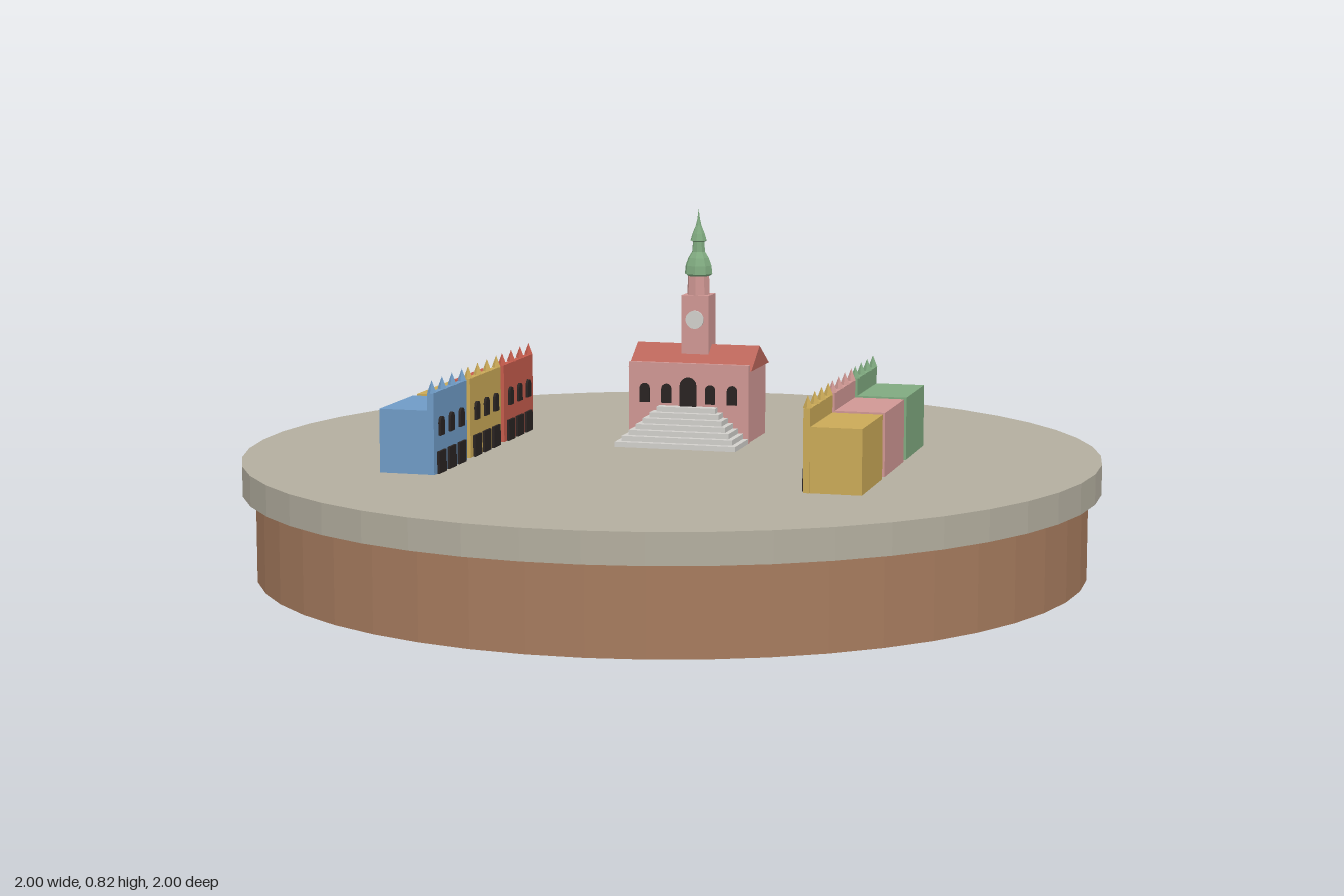
import * as THREE from 'three';

const material = (name, color) => {
  const m = new THREE.MeshStandardMaterial({ color });
  m.name = name;
  return m;
};

const M = {
  paving: material('paving', 0xb3ae9f),
  earth: material('earth', 0xa67b5e),
  pink: material('pinkPlaster', 0xd09894),
  yellow: material('yellowPlaster', 0xcbaa58),
  blue: material('bluePlaster', 0x6f9bc6),
  green: material('greenCopper', 0x80aa80),
  red: material('redPlaster', 0xc55b4c),
  roof: material('roofTile', 0xb9655a),
  steps: material('paleStone', 0xd2d0cc),
  dark: material('darkOpening', 0x2a2422),
};

const GROUND = 0.27;
const TILT = THREE.MathUtils.degToRad(20);

// Gives every face its own flat normal
function flat(geometry) {
  const g = geometry.index ? geometry.toNonIndexed() : geometry;
  g.computeVertexNormals();
  return g;
}

function add(parent, name, geometry, mat, x = 0, y = 0, z = 0) {
  const mesh = new THREE.Mesh(geometry, mat);
  mesh.name = name;
  mesh.position.set(x, y, z);
  parent.add(mesh);
  return mesh;
}

// Box placed by the centre of its underside
function block(parent, name, mat, w, h, d, x, y, z) {
  return add(parent, name, new THREE.BoxGeometry(w, h, d), mat, x, y + h / 2, z);
}

// Thin round-topped plate placed by its bottom centre
function archPlate(parent, name, mat, w, h, x, y, z) {
  const r = w / 2;
  const s = new THREE.Shape();
  s.moveTo(-r, 0);
  s.lineTo(r, 0);
  s.lineTo(r, h - r);
  s.absarc(0, h - r, r, 0, Math.PI, false);
  s.lineTo(-r, 0);
  const g = new THREE.ExtrudeGeometry(s, { depth: 0.006, bevelEnabled: false, curveSegments: 4 });
  return add(parent, name, g, mat, x, y, z);
}

// Town house with a raised front wall, finials and dark openings; faces its own +z
function makeHouse(name, mat, x, z, turn) {
  const house = new THREE.Group();
  house.name = name;
  house.position.set(x, GROUND, z);
  house.rotation.y = turn;
  block(house, 'houseBody', mat, 0.216, 0.145, 0.115, 0, 0, -0.0075);
  block(house, 'frontWall', mat, 0.22, 0.185, 0.015, 0, 0, 0.0575);
  for (let i = 0; i < 4; i++) {
    const finial = flat(new THREE.ConeGeometry(0.011, 0.028, 4));
    add(house, 'finial', finial, mat, -0.1 + i * 0.0667, 0.199, 0.0575);
  }
  for (let i = -1; i <= 1; i++) {
    archPlate(house, 'upperWindow', M.dark, 0.027, 0.043, i * 0.067, 0.085, 0.065);
    block(house, 'groundOpening', M.dark, 0.046, 0.05, 0.006, i * 0.067, 0, 0.068);
  }
  return house;
}

function makeTownHall() {
  const hall = new THREE.Group();
  hall.name = 'townHall';
  hall.position.set(0.083, GROUND, -0.236);
  hall.rotation.y = -TILT;

  block(hall, 'hallBody', M.pink, 0.29, 0.175, 0.176, 0, 0, 0);
  block(hall, 'frontParapet', M.pink, 0.296, 0.188, 0.012, 0, 0, 0.086);

  // Gabled roof
  const gable = new THREE.Shape([
    new THREE.Vector2(-0.082, 0),
    new THREE.Vector2(0.094, 0),
    new THREE.Vector2(0, 0.052),
  ]);
  const roof = new THREE.ExtrudeGeometry(gable, { depth: 0.304, bevelEnabled: false });
  roof.translate(0, 0, -0.152);
  roof.rotateY(Math.PI / 2);
  add(hall, 'gabledRoof', roof, M.roof, 0, 0.173, 0);

  for (let i = -2; i <= 2; i++) {
    archPlate(hall, 'hallWindow', M.dark, 0.024, 0.046, i * 0.054, 0.092, 0.092);
  }
  archPlate(hall, 'hallDoor', M.dark, 0.04, 0.07, 0, 0.085, 0.0925);

  // Staircase narrowing towards the door
  const stairs = new THREE.Group();
  stairs.name = 'stairs';
  const count = 7;
  for (let i = 0; i < count; i++) {
    const depth = 0.126 - i * 0.0165;
    block(stairs, 'step', M.steps, 0.295 - i * 0.025, 0.0122, depth, 0, i * 0.0122, 0.09 + depth / 2);
  }
  hall.add(stairs);

  // Tower with clock face
  const tower = new THREE.Group();
  tower.name = 'tower';
  block(tower, 'towerShaft', M.pink, 0.067, 0.185, 0.067, 0, 0.16, 0);
  const clock = new THREE.CylinderGeometry(0.022, 0.022, 0.006, 20);
  clock.rotateX(Math.PI / 2);
  add(tower, 'clockFace', clock, M.steps, 0, 0.287, 0.036);
  add(tower, 'belfry', flat(new THREE.CylinderGeometry(0.026, 0.028, 0.055, 8)), M.pink, 0, 0.37, 0);

  // Copper helm, lantern and needle
  const profile = [
    [0.027, 0.39], [0.034, 0.395], [0.032, 0.415], [0.025, 0.434], [0.016, 0.448],
    [0.014, 0.472], [0.02, 0.475], [0.015, 0.492], [0.007, 0.511], [0.003, 0.528], [0, 0.552],
  ].map(([r, y]) => new THREE.Vector2(r, y));
  add(tower, 'copperSpire', flat(new THREE.LatheGeometry(profile, 8)), M.green);
  hall.add(tower);
  return hall;
}

export function createModel() {
  const model = new THREE.Group();
  model.name = 'townSquare';

  // Round base
  add(model, 'earthBase', flat(new THREE.CylinderGeometry(0.97, 0.97, 0.2, 48)), M.earth, 0, 0.1, 0);
  add(model, 'pavedPlate', flat(new THREE.CylinderGeometry(1, 1, 0.07, 48)), M.paving, 0, 0.235, 0);

  model.add(makeTownHall());

  // Two house rows facing each other across the square
  const rows = [
    { name: 'rightRow', x: -0.495, z: -0.072, turn: Math.PI / 2 - TILT, mats: [M.red, M.yellow, M.blue] },
    { name: 'leftRow', x: 0.422, z: 0.262, turn: -Math.PI / 2 - TILT, mats: [M.green, M.pink, M.yellow] },
  ];
  for (const row of rows) {
    const group = new THREE.Group();
    group.name = row.name;
    row.mats.forEach((mat, i) => {
      const s = (i - 1) * 0.243;
      group.add(makeHouse('townHouse', mat, row.x - s * Math.sin(TILT), row.z + s * Math.cos(TILT), row.turn));
    });
    model.add(group);
  }
  return model;
}
